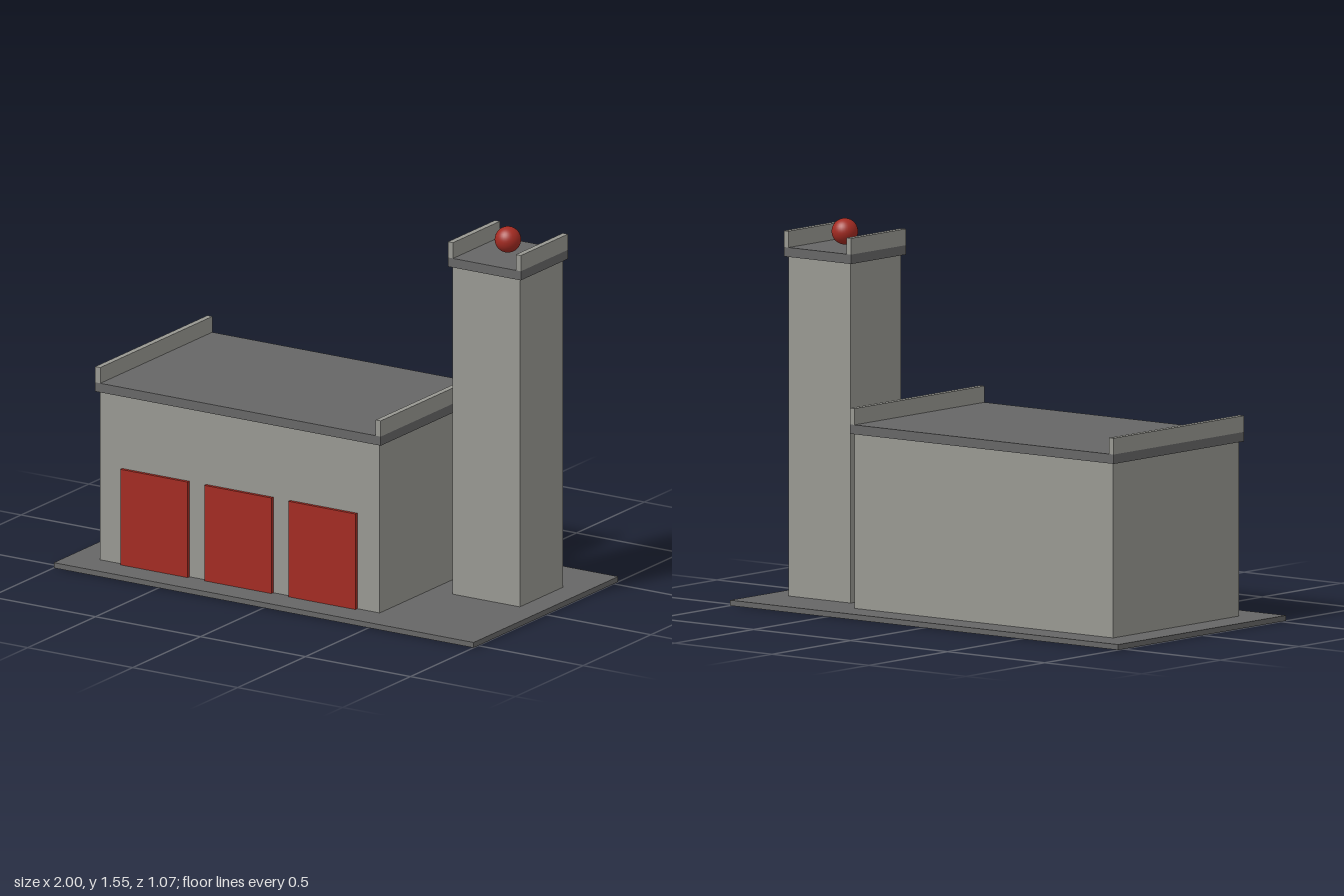
import * as THREE from 'three';

export function createModel() {
  const model = new THREE.Group();
  model.name = 'fireStation';

  const mat = (name, color) => {
    const m = new THREE.MeshStandardMaterial({ color });
    m.name = name;
    return m;
  };
  const wall = mat('wall grey', 0x989892);
  const slab = mat('slab dark grey', 0x666666);
  const red = mat('door red', 0xa32b22);

  // Box resting on height y
  const box = (name, material, w, h, d, x, y, z, parent = model) => {
    const mesh = new THREE.Mesh(new THREE.BoxGeometry(w, h, d), material);
    mesh.name = name;
    mesh.position.set(x, y + h / 2, z);
    parent.add(mesh);
    return mesh;
  };

  // Walled block with an overhanging flat roof and a parapet on either side
  const block = (name, w, h, d, x, z, parapetHeight) => {
    const group = new THREE.Group();
    group.name = name;
    group.position.set(x, ground, z);
    const roofW = w + 0.027, roofD = d + 0.027, roofH = 0.038, rail = 0.024;
    box(name + 'Walls', wall, w, h, d, 0, 0, 0, group);
    box(name + 'Roof', slab, roofW, roofH, roofD, 0, h, 0, group);
    for (const [side, s] of [['Left', 1], ['Right', -1]]) {
      box(name + 'Parapet' + side, wall, rail, parapetHeight, roofD,
        s * (roofW - rail) / 2, h + roofH, 0, group);
    }
    model.add(group);
  };

  // Ground slab
  const ground = 0.022;
  box('baseSlab', slab, 2, ground, 1.067, 0, 0, 0);

  // Main hall and tower
  block('hall', 1.333, 0.706, 0.8, -0.2, 0, 0.066);
  block('tower', 0.32, 1.373, 0.32, 0.733, -0.133, 0.066);

  // Garage doors
  [-0.6, -0.2, 0.2].forEach((x, i) =>
    box('garageDoor' + (i + 1), red, 0.32, 0.4, 0.014, x, ground, 0.407));

  // Alarm beacon above the tower roof
  const beacon = new THREE.Mesh(new THREE.SphereGeometry(0.053, 32, 20), red);
  beacon.name = 'alarmBeacon';
  beacon.position.set(0.733, 1.493, -0.133);
  model.add(beacon);

  return model;
}
